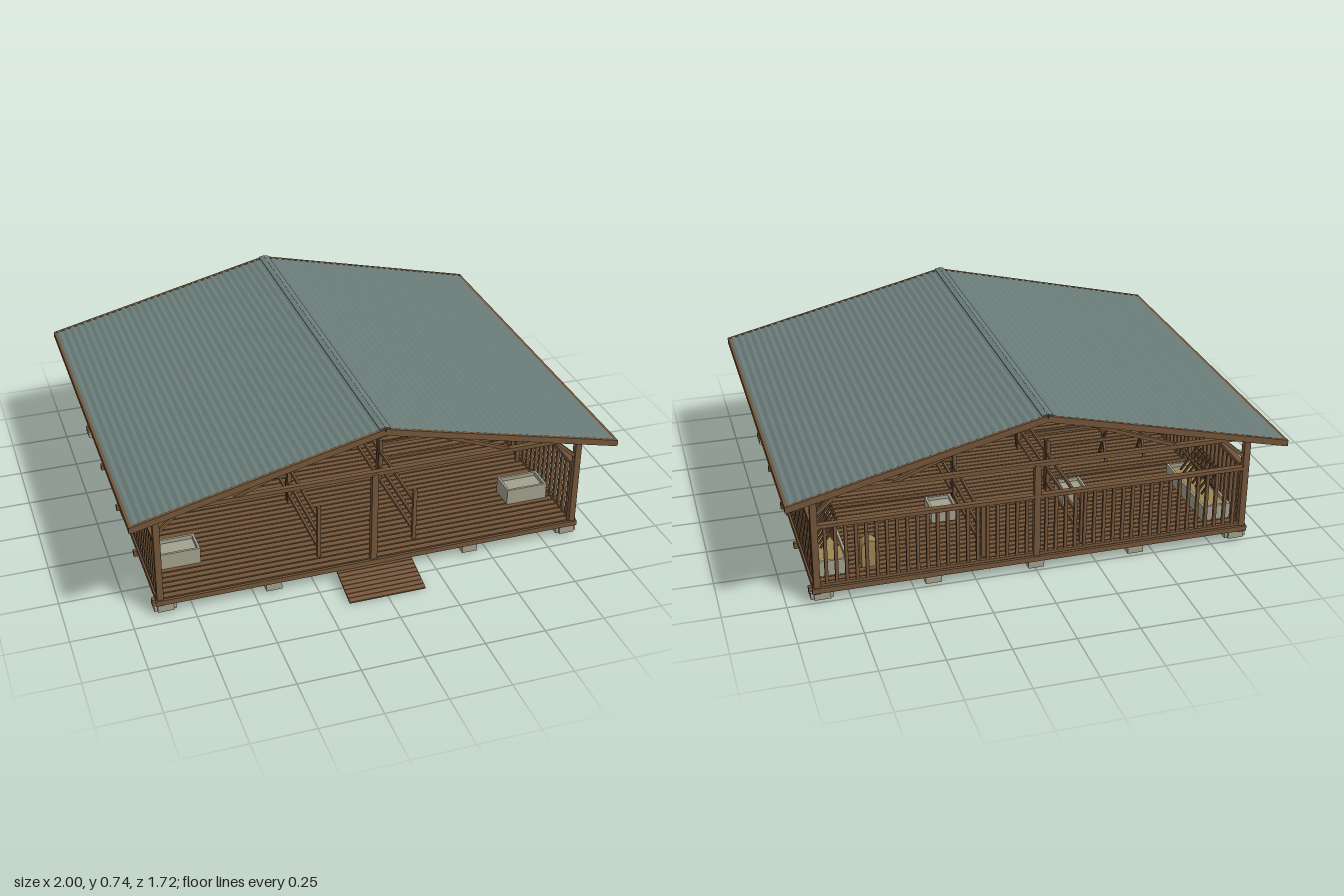
import * as THREE from 'three';

const mat = (name, color) => {
  const m = new THREE.MeshStandardMaterial({ color });
  m.name = name;
  return m;
};

export function createModel() {
  const model = new THREE.Group();
  model.name = 'openBarn';
  const wood = mat('brown wood', 0x735539);
  const dark = mat('dark deck wood', 0x5a412b);
  const metal = mat('slate roof metal', 0x6b7d7a);
  const stone = mat('pale stone', 0xa3a28e);
  const hay = mat('straw', 0x9c8654);

  const groups = {};
  const part = (name) => {
    if (!groups[name]) {
      groups[name] = new THREE.Group();
      groups[name].name = name;
      model.add(groups[name]);
    }
    return groups[name];
  };
  const box = (name, m, w, h, d, x, y, z) => {
    const mesh = new THREE.Mesh(new THREE.BoxGeometry(w, h, d), m);
    mesh.position.set(x, y, z);
    mesh.name = name;
    part(name).add(mesh);
    return mesh;
  };
  // straight timber between two points
  const beam = (name, m, a, b, w, h) => {
    const p = new THREE.Vector3(...a), q = new THREE.Vector3(...b);
    const mesh = box(name, m, w, h, p.distanceTo(q), 0, 0, 0);
    mesh.position.copy(p).add(q).multiplyScalar(0.5);
    mesh.lookAt(q);
  };
  const sides = [-1, 1];
  const FRONT = 0.68, BACK = -0.74, MID = -0.03;

  // foundation blocks and floor beams
  for (const z of [0.66, MID, -0.715])
    for (const x of [-0.86, -0.42, 0, 0.42, 0.86]) {
      box('foundationBlock', stone, 0.065, 0.035, 0.065, x, 0.029, z);
      if (Math.abs(x) > 0.8 && z !== MID) box('foundationBlock', stone, 0.09, 0.03, 0.045, x, 0.026, z);
    }
  for (const z of [0.66, 0.32, MID, -0.37, -0.715])
    box('floorBeam', wood, 1.82, 0.025, 0.02, 0, 0.046, z);

  // plank deck
  box('deckBase', dark, 1.77, 0.008, 1.42, 0, 0.056, MID);
  const planks = 44;
  for (let i = 0; i < planks; i++) {
    const z = BACK + 0.016 + (i * 1.42) / planks;
    box('deckPlank', wood, 1.77, 0.008, 0.026, 0, 0.063, z);
  }
  for (const s of sides) box('deckEdge', wood, 0.015, 0.022, 1.44, s * 0.888, 0.06, MID);
  for (const z of [0.693, -0.753]) box('deckEdge', wood, 1.8, 0.022, 0.012, 0, 0.058, z);

  // entrance ramp
  for (let i = 0; i < 8; i++) {
    const t = i / 7;
    const p = box('rampPlank', wood, 0.32, 0.008, 0.02, 0, 0.043 - t * 0.036, 0.698 + t * 0.15);
    p.rotation.x = 0.22;
  }
  for (const x of [-0.13, 0, 0.13]) beam('rampRunner', dark, [x, 0.036, 0.69], [x, 0.004, 0.84], 0.015, 0.006);

  // posts, wall plates and corner braces
  for (const s of sides) {
    for (const z of [FRONT, BACK]) {
      box('cornerPost', wood, 0.026, 0.435, 0.026, s * 0.88, 0.258, z);
      beam('cornerBrace', wood, [s * 0.87, 0.385, z], [s * 0.775, 0.47, z], 0.014, 0.014);
    }
    box('wallPlate', wood, 0.026, 0.02, 1.45, s * 0.88, 0.473, MID);
  }
  for (const z of [FRONT, BACK]) box('centrePost', wood, 0.026, 0.41, 0.026, 0, 0.265, z);

  // roof trusses
  for (const z of [FRONT, MID, BACK]) {
    box('tieBeam', wood, 1.78, 0.018, 0.022, 0, 0.472, z);
    for (const s of sides) {
      beam('rafter', wood, [0, 0.703, z], [s * 0.9, 0.476, z], 0.022, 0.02);
      beam('trussStrut', wood, [0, 0.695, z], [s * 0.57, 0.478, z], 0.016, 0.014);
    }
  }

  // ribbed roof sheets, purlins and edge boards
  const roofY = (x) => 0.732 - 0.238 * Math.abs(x);
  const zBack = -0.85, zLen = 1.63, zMid = zBack + zLen / 2;
  const ribs = 33;
  for (const s of sides) {
    const shape = new THREE.Shape();
    shape.moveTo(0, roofY(0) - 0.01);
    for (let i = 0; i < ribs; i++) {
      const x0 = (i / ribs) * 0.99, x1 = ((i + 0.5) / ribs) * 0.99;
      shape.lineTo(s * x0, roofY(x0) - 0.002);
      shape.lineTo(s * x1, roofY(x1) + 0.002);
    }
    shape.lineTo(s * 0.99, roofY(0.99) - 0.002);
    shape.lineTo(s * 0.99, roofY(0.99) - 0.01);
    const sheet = new THREE.Mesh(new THREE.ExtrudeGeometry(shape, { depth: zLen, bevelEnabled: false }), metal);
    sheet.position.z = zBack;
    sheet.name = 'roofSheet';
    part('roof').add(sheet);

    for (const x of [0.03, 0.35, 0.65, 0.89])
      box('purlin', wood, 0.016, 0.014, zLen, s * x, roofY(x) - 0.017, zMid);
    for (const z of [zBack - 0.003, zBack + zLen + 0.003])
      beam('bargeBoard', wood, [0, roofY(0) - 0.012, z], [s * 0.995, roofY(0.995) - 0.012, z], 0.014, 0.026);
    box('eaveBoard', wood, 0.014, 0.024, zLen + 0.02, s * 0.992, 0.484, zMid);
    const cap = box('ridgeCap', metal, 0.024, 0.004, zLen + 0.01, s * 0.01, 0.735, zMid);
    cap.rotation.z = -s * 0.234;
  }

  // railings along both sides and the back
  const rail = (a, b) => {
    const alongX = a[1] === b[1];
    const len = alongX ? b[0] - a[0] : b[1] - a[1];
    const cx = (a[0] + b[0]) / 2, cz = (a[1] + b[1]) / 2;
    const bar = (y, h, t) => box('railing', wood, alongX ? len : t, h, alongX ? t : len, cx, y, cz);
    bar(0.333, 0.016, 0.024);
    bar(0.076, 0.012, 0.016);
    const n = Math.round(len / 0.04);
    for (let i = 1; i < n; i++) {
      const t = i / n;
      box('baluster', wood, 0.013, 0.25, 0.013, a[0] + (b[0] - a[0]) * t, 0.202, a[1] + (b[1] - a[1]) * t);
    }
  };
  for (const s of sides) rail([s * 0.88, BACK], [s * 0.88, FRONT]);
  rail([-0.88, BACK], [0, BACK]);
  rail([0, BACK], [0.88, BACK]);

  // animal pens on either side of the aisle
  for (const s of sides) {
    for (const z of [0.6, 0.195, 0.17, -0.225, -0.25, -0.69])
      box('penPost', wood, 0.016, 0.24, 0.016, s * 0.205, 0.185, z);
    for (const [z0, z1] of [[0.6, 0.195], [0.17, -0.225], [-0.25, -0.69]])
      for (const y of [0.105, 0.17, 0.245])
        box('penGateRail', wood, 0.01, 0.014, z0 - z1, s * 0.205, y, (z0 + z1) / 2);
    for (const z of [0.182, -0.238]) {
      for (const y of [0.125, 0.2, 0.275])
        box('penDivider', wood, 0.66, 0.014, 0.01, s * 0.54, y, z);
      box('penPost', wood, 0.016, 0.24, 0.016, s * 0.86, 0.185, z);
    }
  }

  // open trough: four walls and a filled bed
  const trough = (x, z, w, h, d, fill) => {
    for (const s of sides) {
      box('trough', stone, w, h, 0.01, x, 0.07 + h / 2, z + s * (d / 2 - 0.005));
      box('trough', stone, 0.01, h, d - 0.02, x + s * (w / 2 - 0.005), 0.07 + h / 2, z);
    }
    box('troughFill', fill, w - 0.02, h * 0.75, d - 0.02, x, 0.07 + h * 0.375, z);
  };
  for (const s of sides) {
    trough(s * 0.76, 0.445, 0.18, 0.07, 0.11, stone);
    trough(s * 0.285, -0.33, 0.11, 0.06, 0.12, stone);
    trough(s * 0.8, -0.475, 0.12, 0.065, 0.4, hay);
    // crossed-slat hay rack
    for (let i = 0; i < 8; i++) {
      const z = -0.37 - i * 0.032;
      for (const k of sides)
        beam('hayRack', dark, [s * 0.8 - k * 0.035, 0.15, z], [s * 0.8 + k * 0.035, 0.265, z - 0.015], 0.008, 0.008);
    }
    for (const k of sides) box('hayRack', wood, 0.01, 0.01, 0.26, s * 0.8 + k * 0.035, 0.25, -0.485);
  }

  // work table on trestle legs
  box('workTable', wood, 0.25, 0.014, 0.1, -0.63, 0.228, -0.02);
  for (const x of [-0.72, -0.54])
    for (const s of sides)
      beam('tableLeg', dark, [x, 0.068, -0.02 + s * 0.045], [x, 0.222, -0.02 - s * 0.03], 0.01, 0.01);

  // round-topped straw bale
  const arch = new THREE.Shape();
  arch.moveTo(-0.035, 0);
  arch.lineTo(0.035, 0);
  arch.lineTo(0.035, 0.08);
  arch.absarc(0, 0.08, 0.035, 0, Math.PI, false);
  const bale = new THREE.Mesh(new THREE.ExtrudeGeometry(arch, { depth: 0.05, bevelEnabled: false }), hay);
  bale.position.set(0.65, 0.068, -0.65);
  bale.name = 'strawBale';
  model.add(bale);

  return model;
}
